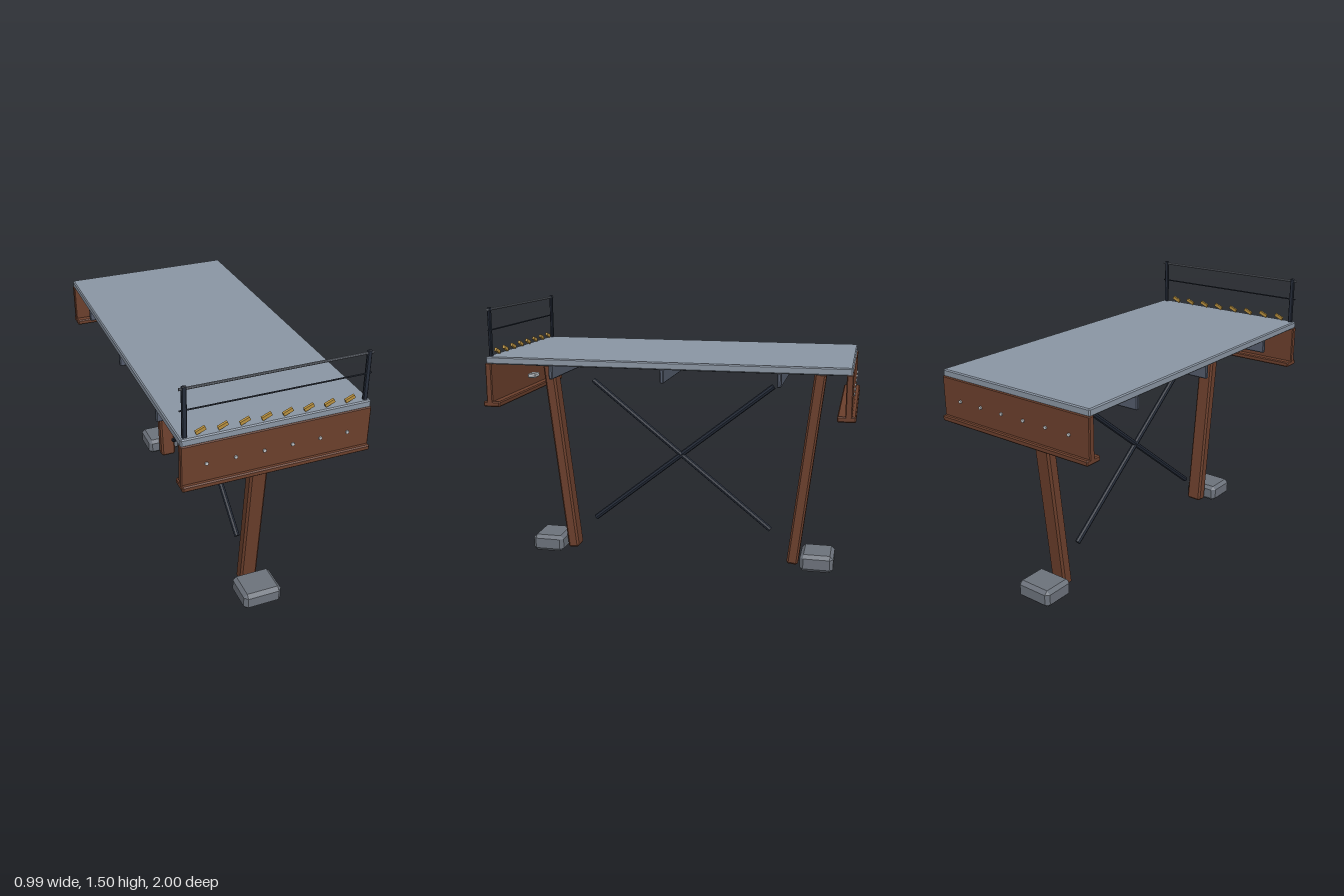
import * as THREE from 'three';
import { ConvexGeometry } from 'three/addons/geometries/ConvexGeometry.js';

const paint = (color) => new THREE.MeshStandardMaterial({ color, flatShading: true });

// Box with every edge cut by c
function chamferBox(w, h, d, c) {
  const points = [];
  for (const x of [-1, 1]) for (const y of [-1, 1]) for (const z of [-1, 1]) {
    for (const [a, b, e] of [[0, c, c], [c, 0, c], [c, c, 0]]) {
      points.push(new THREE.Vector3(x * (w / 2 - a), y * (h / 2 - b), z * (d / 2 - e)));
    }
  }
  return new ConvexGeometry(points);
}

export function createModel() {
  const model = new THREE.Group();
  model.name = 'raisedPlatform';
  const rust = paint(0x6b3f2c), deckGrey = paint(0x8a95a3), beamGrey = paint(0x535b6b);
  const dark = paint(0x242b38), stone = paint(0x6c727b), brass = paint(0xb8903f), bright = paint(0xc4c8cc);

  function add(name, geometry, material, x, y, z, parent = model) {
    const mesh = new THREE.Mesh(geometry, material);
    mesh.name = name;
    mesh.position.set(x, y, z);
    parent.add(mesh);
    return mesh;
  }

  // Bar whose long axis (y) runs between two points
  function addBetween(name, geometry, material, from, to) {
    const mesh = add(name, geometry, material, 0, 0, 0);
    mesh.position.addVectors(from, to).multiplyScalar(0.5);
    mesh.quaternion.setFromUnitVectors(new THREE.Vector3(0, 1, 0), to.clone().sub(from).normalize());
    return mesh;
  }

  // Deck with its spine and cross beams
  add('deck', chamferBox(0.98, 0.04, 1.95, 0.006), deckGrey, 0, 1.22, 0);
  add('spineBeam', chamferBox(0.09, 0.075, 1.8, 0.01), beamGrey, 0, 1.165, 0);
  for (const z of [-0.61, 0, 0.61]) {
    add('crossBeam', chamferBox(0.97, 0.075, 0.022, 0.005), beamGrey, 0, 1.165, z);
  }

  // Matching ends: girder, leg and footing
  for (const s of [1, -1]) {
    const girder = new THREE.Group();
    girder.name = s > 0 ? 'frontGirder' : 'backGirder';
    model.add(girder);
    add('girderWeb', chamferBox(0.985, 0.225, 0.035, 0.005), rust, 0, 1.0925, s * 0.9625, girder);
    add('girderFlange', chamferBox(0.985, 0.03, 0.095, 0.006), rust, 0, 0.98, s * 0.9525, girder);
    for (let i = 0; i < 6; i++) {
      const rivet = add('rivet', new THREE.CylinderGeometry(0.009, 0.009, 0.012, 8), bright,
        -0.367 + i * 0.1468, 1.09, s * 0.981, girder);
      rivet.rotation.x = Math.PI / 2;
    }
    addBetween('leg', chamferBox(0.096, 1.13, 0.066, 0.011), rust,
      new THREE.Vector3(0, 0.015, s * 0.664), new THREE.Vector3(0, 1.14, s * 0.792));
    add('footing', chamferBox(0.22, 0.1, 0.19, 0.02), stone, 0, 0.05, s * 0.808);
    // Diagonal brace
    addBetween('crossBrace', new THREE.CylinderGeometry(0.016, 0.016, 1.356, 8), dark,
      new THREE.Vector3(0, 0.205, s * 0.53), new THREE.Vector3(0, 1.05, -s * 0.53));
  }

  // Small lamp behind the front girder
  add('lamp', chamferBox(0.07, 0.026, 0.048, 0.006), bright, 0, 1.066, 0.902);

  // Railing on the front edge
  const railing = new THREE.Group();
  railing.name = 'railing';
  model.add(railing);
  for (const x of [-0.464, 0.464]) {
    add('railPost', chamferBox(0.025, 0.27, 0.016, 0.004), dark, x, 1.37, 0.953, railing);
  }
  for (const [name, y, r, material] of [['topRail', 1.491, 0.007, stone], ['midRail', 1.381, 0.004, dark]]) {
    const rail = add(name, new THREE.CylinderGeometry(r, r, 0.976, 8), material, 0, y, 0.953, railing);
    rail.rotation.z = Math.PI / 2;
  }

  // Row of tilted slats below the railing
  for (let i = 0; i < 8; i++) {
    const slat = add('slat', new THREE.BoxGeometry(0.052, 0.018, 0.014), brass,
      -0.386 + i * 0.1097, 1.26, 0.953, railing);
    slat.rotation.z = 0.4;
  }
  return model;
}
